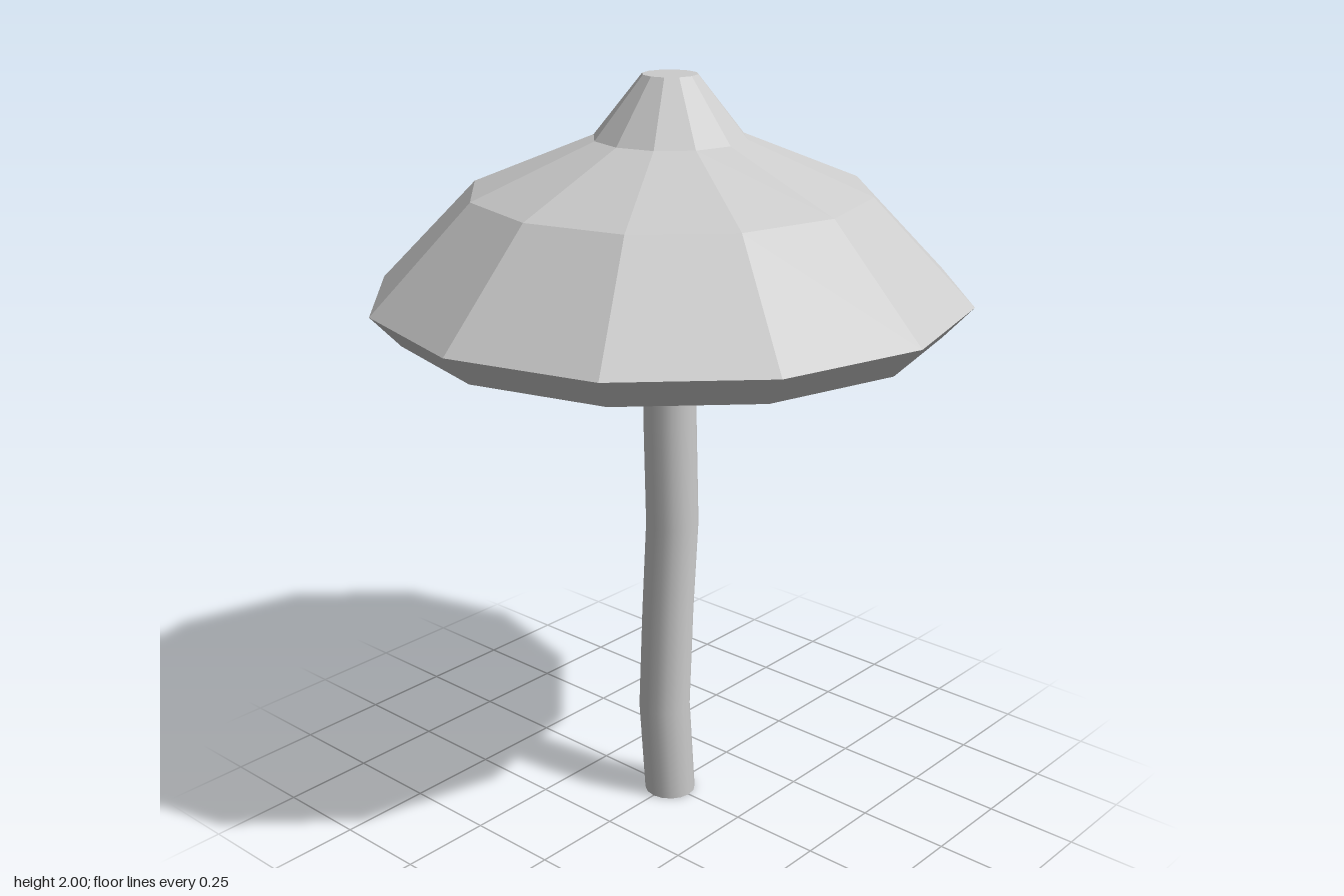
import * as THREE from 'three';

export function createModel() {
  const model = new THREE.Group();
  const grey = (flatShading) => new THREE.MeshStandardMaterial({ color: 0xcccccc, flatShading });

  // Faceted cap: closed twelve-sided profile, listed from the underside up
  const capProfile = [[0, 1.37], [0.695, 1.37], [0.77, 1.45], [0.51, 1.715], [0.195, 1.845], [0.07, 2], [0, 2]]
    .map(([r, y]) => new THREE.Vector2(r, y));
  const cap = new THREE.Mesh(new THREE.LatheGeometry(capProfile, 12), grey(true));
  cap.name = 'cap';
  model.add(cap);

  // Crooked stem: a cylinder whose rings are shifted sideways by [x, z]
  const height = 1.375;
  const bends = [[0, 0], [0, 0.023], [-0.008, 0], [0.024, 0.018], [0, 0], [0, 0]];
  const segments = bends.length - 1;
  const stemGeometry = new THREE.CylinderGeometry(0.07, 0.07, height, 16, segments);
  stemGeometry.translate(0, height / 2, 0);
  const position = stemGeometry.attributes.position;
  for (let i = 0; i < position.count; i++) {
    const [dx, dz] = bends[Math.round((position.getY(i) / height) * segments)];
    position.setX(i, position.getX(i) + dx);
    position.setZ(i, position.getZ(i) + dz);
  }
  const stem = new THREE.Mesh(stemGeometry, grey(false));
  stem.name = 'stem';
  model.add(stem);

  return model;
}
